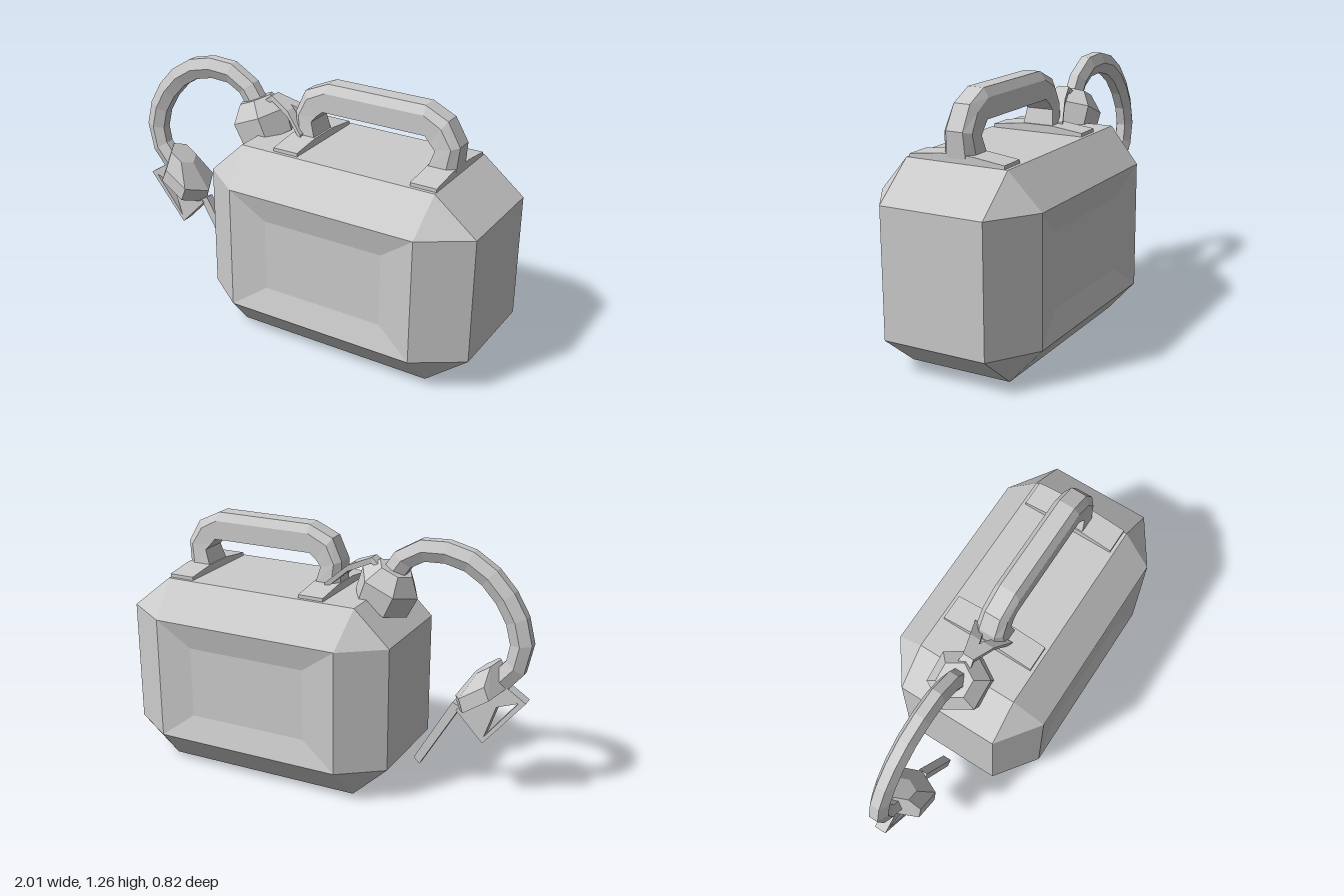
import * as THREE from 'three';
import { ConvexGeometry } from 'three/addons/geometries/ConvexGeometry.js';

const material = new THREE.MeshStandardMaterial({ color: 0xcccccc, flatShading: true, side: THREE.DoubleSide });

// Skins a run of equal-length rings and closes both ends
function loft(rings) {
  const pos = [], n = rings[0].length;
  const tri = (...p) => p.forEach((v) => pos.push(...v));
  for (let i = 0; i < rings.length - 1; i++) {
    for (let j = 0; j < n; j++) {
      const k = (j + 1) % n, a = rings[i], b = rings[i + 1];
      tri(a[j], a[k], b[k]);
      tri(a[j], b[k], b[j]);
    }
  }
  for (const [r, flip] of [[rings[0], true], [rings[rings.length - 1], false]]) {
    const c = [0, 1, 2].map((d) => r.reduce((s, p) => s + p[d], 0) / n);
    for (let j = 0; j < n; j++) {
      const k = (j + 1) % n;
      flip ? tri(c, r[k], r[j]) : tri(c, r[j], r[k]);
    }
  }
  const g = new THREE.BufferGeometry();
  g.setAttribute('position', new THREE.Float32BufferAttribute(pos, 3));
  g.computeVertexNormals();
  return g;
}

// Six-sided rings [x, y, radius] across an axis lying in the xy plane, wrapped as one solid
function nut(ax, ay, rings) {
  const l = Math.hypot(ax, ay), pts = [];
  for (const [x, y, r] of rings) {
    for (let i = 0; i < 6; i++) {
      const t = (i / 6) * Math.PI * 2, c = r * Math.cos(t);
      pts.push(new THREE.Vector3(x + (c * ay) / l, y - (c * ax) / l, r * 0.97 * Math.sin(t + 0.0)));
    }
  }
  return new ConvexGeometry(pts);
}

// Flat outline pulled to a depth centred on z = 0
function plate(outline, depth, hole) {
  const v = (p) => new THREE.Vector2(...p);
  const s = new THREE.Shape(outline.map(v));
  if (hole) s.holes.push(new THREE.Path(hole.map(v)));
  return new THREE.ExtrudeGeometry(s, { depth, bevelEnabled: false }).translate(0, 0, -depth / 2);
}

export function createModel() {
  const model = new THREE.Group();
  const add = (name, geometry) => {
    const m = new THREE.Mesh(geometry, material);
    m.name = name;
    model.add(m);
    return m;
  };

  // Chamfered can with shallow recessed panels front and back
  const rect = (x0, x1, y0, y1, z) =>
    [[x1, y0], [x1, y0], [x1, y1], [x1, y1], [x0, y1], [x0, y1], [x0, y0], [x0, y0]].map(([x, y]) => [x, y, z]);
  const octagon = (z) =>
    [[0.79, 0], [1, 0.17], [1, 0.79], [0.79, 0.96], [-0.23, 0.96], [-0.41, 0.79], [-0.41, 0.17], [-0.23, 0]]
      .map(([x, y]) => [x, y, z]);
  add('canBody', loft([
    rect(-0.02, 0.6, 0.3, 0.66, -0.38),
    rect(-0.2, 0.77, 0.17, 0.79, -0.41),
    octagon(-0.257),
    octagon(0.257),
    rect(-0.2, 0.77, 0.17, 0.79, 0.41),
    rect(-0.02, 0.6, 0.3, 0.66, 0.38),
  ]));

  // Carrying handle: outer point, inner point and half width at each station
  const stations = [
    [-0.055, 0.98, 0.065, 0.98, 0.08],
    [-0.06, 1.1, 0.04, 1.07, 0.07],
    [-0.01, 1.21, 0.065, 1.1, 0.067],
    [0.115, 1.265, 0.1, 1.13, 0.067],
    [0.62, 1.265, 0.635, 1.13, 0.067],
    [0.735, 1.21, 0.66, 1.1, 0.067],
    [0.8, 1.1, 0.69, 1.07, 0.07],
    [0.79, 0.98, 0.66, 0.98, 0.08],
  ];
  add('carryHandle', loft(stations.map(([ox, oy, ix, iy, w]) => {
    const mx = ox + (ix - ox) * 0.3, my = oy + (iy - oy) * 0.3, t = w * 0.6;
    return [[ox, oy, -t], [ox, oy, t], [mx, my, w], [ix, iy, w], [ix, iy, -w], [mx, my, -w]];
  })));

  // Handle mounting plates, thicker towards the middle
  for (const x of [0.005, 0.725]) {
    const section = [[-0.24, 0.95], [0.24, 0.95], [0.24, 0.977], [0.08, 0.997], [-0.08, 0.997], [-0.24, 0.977]];
    add('handlePlate', loft([x + 0.065, x - 0.065].map((px) => section.map(([z, y]) => [px, y, z]))));
  }

  // Filler cap on the shoulder
  add('fillerCap', nut(-0.11, 0.26, [[-0.25, 0.915, 0.145], [-0.295, 1.02, 0.155], [-0.325, 1.095, 0.09]]));

  // Forked strap tying the cap to the handle plate
  for (const s of [1, -1]) {
    const path = [[-0.27, 1.08, -0.01], [-0.21, 1.125, 0.0], [-0.1, 1.08, 0.035], [0.0, 0.99, 0.075]];
    add('capStrap', loft(path.map(([x, y, z]) =>
      [[y + 0.015, -0.028], [y + 0.015, 0.028], [y - 0.015, 0.028], [y - 0.015, -0.028]]
        .map(([py, dz]) => [x, py, s * z + dz]))));
  }

  // Curved hose
  const curve = new THREE.CatmullRomCurve3([
    [-0.3, 1.05], [-0.395, 1.175], [-0.53, 1.212], [-0.71, 1.175], [-0.85, 1.06],
    [-0.945, 0.89], [-0.95, 0.74], [-0.86, 0.62],
  ].map(([x, y]) => new THREE.Vector3(x, y, 0)));
  add('hose', new THREE.TubeGeometry(curve, 10, 0.06, 6)).scale.z = 0.8;

  // Nozzle collar at the hose end
  add('nozzleCollar', nut(0.17, 0.25, [[-0.79, 0.525, 0.15], [-0.765, 0.59, 0.145], [-0.8, 0.69, 0.075]]));

  // Open guard loop below the collar
  add('nozzleGuard', plate(
    [[-0.9, 0.61], [-1, 0.545], [-0.8, 0.3], [-0.66, 0.445], [-0.75, 0.54]], 0.06,
    [[-0.965, 0.54], [-0.86, 0.5], [-0.805, 0.335]]));

  // Slim lever hanging from the collar
  add('nozzleLever', plate([[-0.68, 0.46], [-0.48, 0.115], [-0.45, 0.145], [-0.64, 0.48]], 0.045));

  return model;
}
